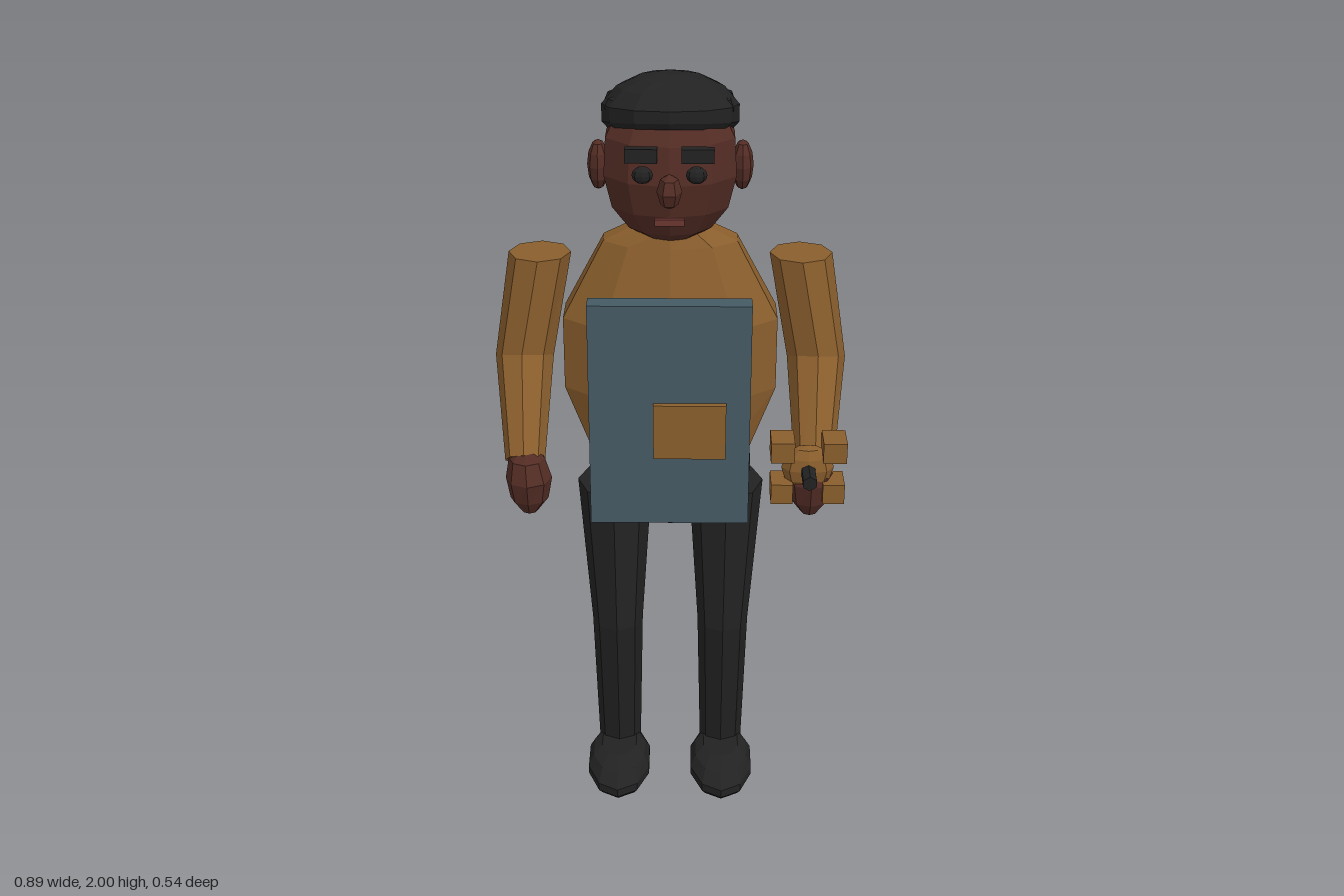
import * as THREE from 'three';

const mat = (name, color) => {
  const m = new THREE.MeshStandardMaterial({ color });
  m.name = name;
  return m;
};

// Faceted normals: every triangle gets its own corners
function facet(geo) {
  const g = geo.index ? geo.toNonIndexed() : geo;
  g.computeVertexNormals();
  return g;
}

// Closed skin over elliptical rings listed bottom to top: [x, y, z, rx, rz, tilt]
function loft(rings, sides = 10) {
  const pos = [], idx = [];
  for (const [x, y, z, rx, rz, tilt = 0] of rings) {
    for (let i = 0; i < sides; i++) {
      const a = (i / sides) * Math.PI * 2;
      const dz = Math.cos(a) * rz;
      pos.push(x + Math.sin(a) * rx, y + dz * tilt, z + dz);
    }
  }
  const last = (rings.length - 1) * sides;
  const low = pos.length / 3, high = low + 1;
  const end = rings[rings.length - 1];
  pos.push(...rings[0].slice(0, 3), ...end.slice(0, 3));
  for (let i = 0; i < sides; i++) {
    const j = (i + 1) % sides;
    for (let r = 0; r < last; r += sides) {
      idx.push(r + i, r + j, r + sides + j, r + i, r + sides + j, r + sides + i);
    }
    idx.push(low, j, i, high, last + i, last + j);
  }
  const g = new THREE.BufferGeometry();
  g.setAttribute('position', new THREE.Float32BufferAttribute(pos, 3));
  g.setIndex(idx);
  return facet(g);
}

export function createModel() {
  const model = new THREE.Group();
  model.name = 'figure';
  const black = mat('black cloth', 0x222222);
  const shirt = mat('brown shirt', 0x8a5e2d);
  const skin = mat('dark skin', 0x522c24);
  const slate = mat('slate grey', 0x455a64);
  const lip = mat('lip red', 0x6a3530);

  const add = (name, geo, material) => {
    const m = new THREE.Mesh(geo, material);
    m.name = name;
    model.add(m);
    return m;
  };
  // Box given by its lower and upper corners
  const box = (name, material, [x0, y0, z0], [x1, y1, z1]) =>
    add(name, new THREE.BoxGeometry(x1 - x0, y1 - y0, z1 - z0), material)
      .position.set((x0 + x1) / 2, (y0 + y1) / 2, (z0 + z1) / 2);
  const blob = (name, material, [x, y, z], [rx, ry, rz], w = 8, h = 6) => {
    const g = new THREE.SphereGeometry(1, w, h);
    g.scale(rx, ry, rz);
    g.translate(x, y, z);
    return add(name, facet(g), material);
  };

  // Torso and hips
  add('torso', loft([
    [0, 1.02, -0.085, 0.21, 0.145],
    [0, 1.2, -0.1, 0.284, 0.168],
    [0, 1.39, -0.1, 0.284, 0.17],
    [0, 1.59, -0.09, 0.175, 0.1],
    [0, 1.64, -0.075, 0.08, 0.07],
  ]), shirt);
  add('hips', loft([
    [0, 0.81, -0.085, 0.07, 0.05],
    [0, 0.84, -0.085, 0.15, 0.1],
    [0, 0.92, -0.085, 0.216, 0.148],
    [0, 1.0, -0.085, 0.22, 0.15],
    [0, 1.025, -0.085, 0.21, 0.144],
  ]), black);

  // Neck and head
  add('neck', loft([
    [0, 1.58, -0.075, 0.07, 0.062],
    [0, 1.68, -0.07, 0.07, 0.062],
  ]), skin);
  add('head', loft([
    [0, 1.61, -0.055, 0.06, 0.055],
    [0, 1.635, -0.055, 0.105, 0.09],
    [0, 1.69, -0.055, 0.148, 0.12],
    [0, 1.77, -0.055, 0.168, 0.137],
    [0, 1.86, -0.06, 0.163, 0.125],
    [0, 1.94, -0.075, 0.12, 0.09],
  ]), skin);
  blob('nose', skin, [0, 1.775, 0.13], [0.03, 0.042, 0.044], 6, 4);
  box('mouth', lip, [-0.035, 1.687, 0.1], [0.035, 1.702, 0.117]);

  // Hair cap, lower at the back, with small clumps round the sides and back
  add('hair', loft([
    [0, 1.865, -0.085, 0.15, 0.132, 0.25],
    [0, 1.882, -0.088, 0.166, 0.144, 0.22],
    [0, 1.925, -0.088, 0.166, 0.144, 0.12],
    [0, 1.968, -0.088, 0.13, 0.112, 0.05],
    [0, 1.99, -0.088, 0.08, 0.07],
    [0, 2.0, -0.088, 0.03, 0.026],
  ], 12), black);
  for (const deg of [70, 105, 150, 180, 210, 255, 290]) {
    const a = deg * Math.PI / 180;
    const p = [Math.sin(a) * 0.135, 1.925, -0.088 + Math.cos(a) * 0.115];
    blob('hairClump', black, p, [0.03, 0.03, 0.03], 5, 4);
  }

  // Paired parts: s is +1 for the left side, -1 for the right
  for (const s of [1, -1]) {
    const side = s > 0 ? 'left' : 'right';
    blob(side + 'Ear', skin, [s * 0.175, 1.78, -0.075], [0.027, 0.062, 0.043]);
    blob(side + 'Eye', black, [s * 0.063, 1.81, 0.115], [0.025, 0.021, 0.018]);
    const c = s * 0.066;
    box(side + 'Eyebrow', black, [c - 0.038, 1.842, 0.106], [c + 0.038, 1.875, 0.132]);

    add(side + 'Arm', loft([
      [s * 0.362, 1.075, 0.125, 0.05, 0.036, 0.86],
      [s * 0.371, 1.285, -0.06, 0.074, 0.075, 0.39],
      [s * 0.325, 1.555, -0.08, 0.078, 0.08, 0],
    ], 8), shirt);
    add(side + 'Hand', loft([
      [s * 0.352, 0.95, 0.155, 0.02, 0.02],
      [s * 0.352, 0.985, 0.152, 0.048, 0.045],
      [s * 0.352, 1.04, 0.148, 0.058, 0.062],
      [s * 0.356, 1.09, 0.14, 0.045, 0.048],
      [s * 0.358, 1.11, 0.13, 0.02, 0.02],
    ], 8), skin);

    add(side + 'Leg', loft([
      [s * 0.143, 0.08, -0.08, 0.058, 0.06],
      [s * 0.143, 0.52, -0.032, 0.068, 0.076],
      [s * 0.147, 0.92, -0.08, 0.098, 0.11],
    ], 8), black);
    add(side + 'Shoe', loft([
      [s * 0.143, 0.003, 0.01, 0.04, 0.06],
      [s * 0.143, 0.03, 0.005, 0.075, 0.13],
      [s * 0.143, 0.055, 0.005, 0.089, 0.158],
      [s * 0.143, 0.078, 0.005, 0.089, 0.158],
      [s * 0.143, 0.105, 0.0, 0.075, 0.12],
      [s * 0.143, 0.122, -0.01, 0.05, 0.075],
    ]), black);
  }

  // Apron board with its pocket
  box('apron', slate, [-0.2, 0.9, 0.073], [0.2, 1.49, 0.128]);
  box('apronPocket', shirt, [-0.04, 1.09, 0.125], [0.14, 1.235, 0.145]);

  // Hand tool: faceted hub, four corner blocks and a forward pin
  blob('toolHub', shirt, [0.343, 1.083, 0.17], [0.065, 0.06, 0.037]);
  for (const s of [1, -1]) {
    const x = 0.343 + s * 0.064;
    box('toolUpperBlock', shirt, [x - 0.029, 1.112, 0.13], [x + 0.029, 1.165, 0.21]);
    box('toolLowerBlock', shirt, [x - 0.027, 1.0, 0.13], [x + 0.027, 1.052, 0.21]);
  }
  const pin = add('toolPin', facet(new THREE.CylinderGeometry(0.019, 0.019, 0.085, 6)), black);
  pin.rotation.x = Math.PI / 2;
  pin.position.set(0.343, 1.085, 0.225);

  return model;
}
